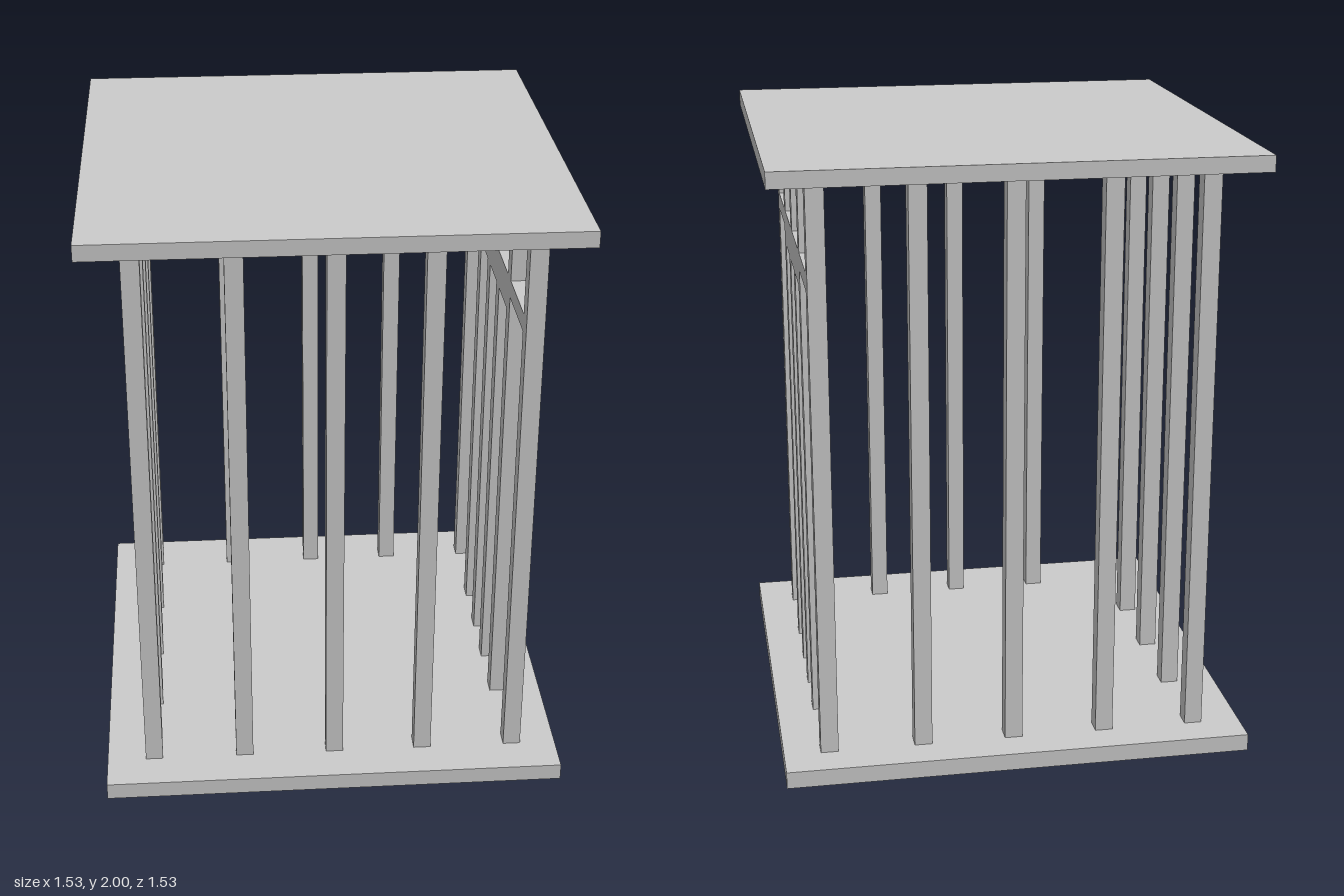
import * as THREE from 'three';

const material = new THREE.MeshStandardMaterial({ color: 0xcccccc, flatShading: true });

const PLATE = 1.53;      // side of the square plates
const FLOOR = 0.057;     // top of the bottom plate
const CEILING = 1.948;   // underside of the top plate
const BAR = 0.058;       // square bar thickness
const xs = [-0.607, -0.3, 0.006, 0.307, 0.616];
const zs = [0.606, 0.299, -0.008, -0.315, -0.622];

export function createModel() {
  const model = new THREE.Group();
  model.name = 'barredCage';

  // Box given by its centre in x and z, and its bottom and top heights
  const block = (parent, name, x, z, y0, y1, w = BAR, d = BAR) => {
    const mesh = new THREE.Mesh(new THREE.BoxGeometry(w, y1 - y0, d), material);
    mesh.position.set(x, (y0 + y1) / 2, z);
    mesh.name = name;
    parent.add(mesh);
  };

  // Floor and roof plates
  block(model, 'floorPlate', 0, 0, 0, FLOOR, PLATE, PLATE);
  block(model, 'roofPlate', 0, 0, CEILING, 2, PLATE, PLATE);

  // Full-height bars around the edge, leaving out the middle of the door side
  const bars = new THREE.Group();
  bars.name = 'bars';
  xs.forEach((x, i) => zs.forEach((z, j) => {
    const onEdge = i === 0 || i === 4 || j === 0 || j === 4;
    const inDoorway = i === 4 && j === 2;
    if (onEdge && !inDoorway) block(bars, 'bar', x, z, FLOOR, CEILING);
  }));
  model.add(bars);

  // Door side: crossbeam, short bar above it, door rail and two door bars
  const door = new THREE.Group();
  door.name = 'doorSide';
  const x = xs[4];
  block(door, 'crossbeam', x, zs[2], 1.597, 1.655, BAR, zs[0] - zs[4] - BAR);
  block(door, 'upperBar', x, zs[2], 1.655, CEILING);
  block(door, 'doorRail', x, zs[2], 1.536, 1.597, BAR, zs[1] - zs[3] - BAR);
  for (const z of [0.087, -0.108]) block(door, 'doorBar', x, z, FLOOR, 1.536);
  model.add(door);

  return model;
}
